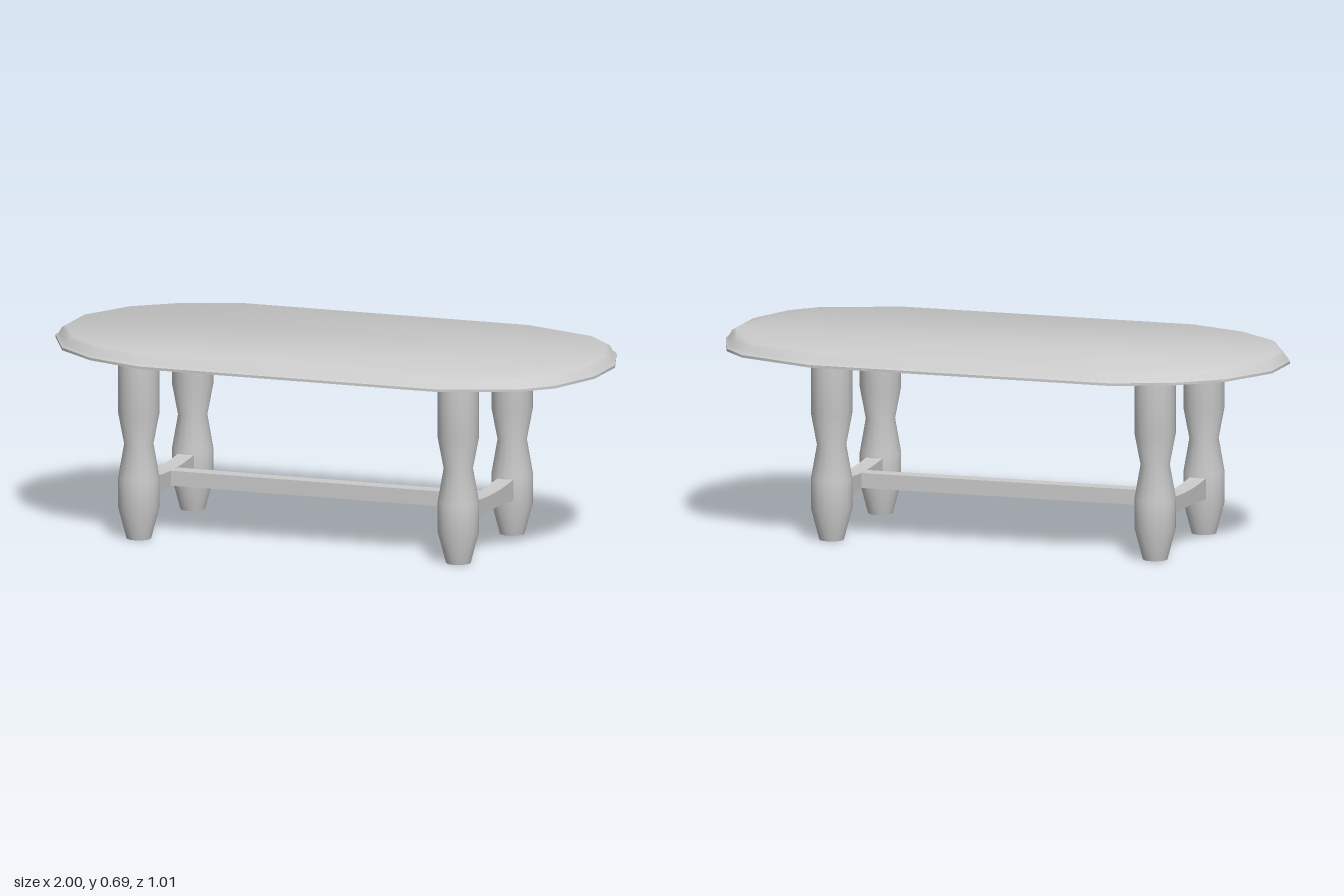
import * as THREE from 'three';
import { toCreasedNormals } from 'three/addons/utils/BufferGeometryUtils.js';

const material = new THREE.MeshStandardMaterial({ color: 0xcccccc });

function addMesh(parent, name, geometry) {
  const mesh = new THREE.Mesh(geometry, material);
  mesh.name = name;
  parent.add(mesh);
  return mesh;
}

// Joins equal closed loops of points, bottom to top, and caps both ends.
function loft(loops, crease) {
  const n = loops[0].length;
  const positions = loops.flat(2);
  const index = [];
  for (let k = 0; k < loops.length - 1; k++) {
    for (let i = 0; i < n; i++) {
      const a = k * n + i, b = k * n + (i + 1) % n;
      index.push(a, b, b + n, a, b + n, a + n);
    }
  }
  const top = (loops.length - 1) * n;
  for (let i = 1; i < n - 1; i++) {
    index.push(0, i + 1, i, top, top + i, top + i + 1);
  }
  const geometry = new THREE.BufferGeometry();
  geometry.setAttribute('position', new THREE.Float32BufferAttribute(positions, 3));
  geometry.setIndex(index);
  return toCreasedNormals(geometry, crease);
}

// Faceted oval top with a rounded rim
function tabletop() {
  const half = [
    [1, 0.1], [0.93, 0.3], [0.84, 0.4], [0.56, 0.505],
    [-0.54, 0.505], [-0.75, 0.425], [-0.9, 0.3], [-1, 0.1],
  ];
  const outline = [...half, ...half.map(([x, z]) => [x, -z]).reverse()].reverse();
  const rim = [[0.65, 0], [0.659, 0], [0.668, 0.012], [0.687, 0.022], [0.695, 0.035]];
  const loops = rim.map(([y, inset]) =>
    outline.map(([x, z]) => [x * (1 - inset), y, z * (1 - inset / 0.505)]));
  return loft(loops, 0.7);
}

// Turned leg with a narrow waist and tapered foot
function leg() {
  const profile = [
    [0, 0], [0.043, 0], [0.072, 0.11], [0.072, 0.215],
    [0.051, 0.335], [0.072, 0.445], [0.072, 0.652],
  ].map(([r, y]) => new THREE.Vector2(r, y));
  return toCreasedNormals(new THREE.LatheGeometry(profile, 16), 0.6);
}

// Side stretcher, slimmer in the middle of its length
function sideStretcher(width) {
  const middle = 0.01, reach = 0.225;
  const shape = new THREE.Shape();
  shape.moveTo(-reach, 0.128);
  shape.quadraticCurveTo(-0.1, 0.14, -0.03, 0.141);
  shape.lineTo(0.03, 0.141);
  shape.quadraticCurveTo(0.1, 0.14, reach, 0.128);
  shape.lineTo(reach, 0.208);
  shape.quadraticCurveTo(0.1, 0.196, 0.03, 0.195);
  shape.lineTo(-0.03, 0.195);
  shape.quadraticCurveTo(-0.1, 0.196, -reach, 0.208);
  const geometry = new THREE.ExtrudeGeometry(shape, { depth: width, bevelEnabled: false, curveSegments: 4 });
  geometry.translate(0, 0, -width / 2);
  geometry.rotateY(Math.PI / 2);
  geometry.translate(0, 0, middle);
  return geometry;
}

export function createModel() {
  const table = new THREE.Group();
  table.name = 'table';
  addMesh(table, 'tabletop', tabletop());

  // Leg pairs, each tied by a side stretcher
  const legGeometry = leg();
  const stretcherGeometry = sideStretcher(0.06);
  for (const [side, x] of [['right', -0.625], ['left', 0.56]]) {
    for (const [end, z] of [['Front', 0.275], ['Back', -0.255]]) {
      addMesh(table, `${side}${end}Leg`, legGeometry).position.set(x, 0, z);
    }
    addMesh(table, `${side}Stretcher`, stretcherGeometry).position.x = x;
  }

  // Long stretcher between the two leg pairs
  const longStretcher = addMesh(table, 'longStretcher', new THREE.BoxGeometry(1.15, 0.053, 0.06));
  longStretcher.position.set(-0.0325, 0.168, 0.01);
  return table;
}
